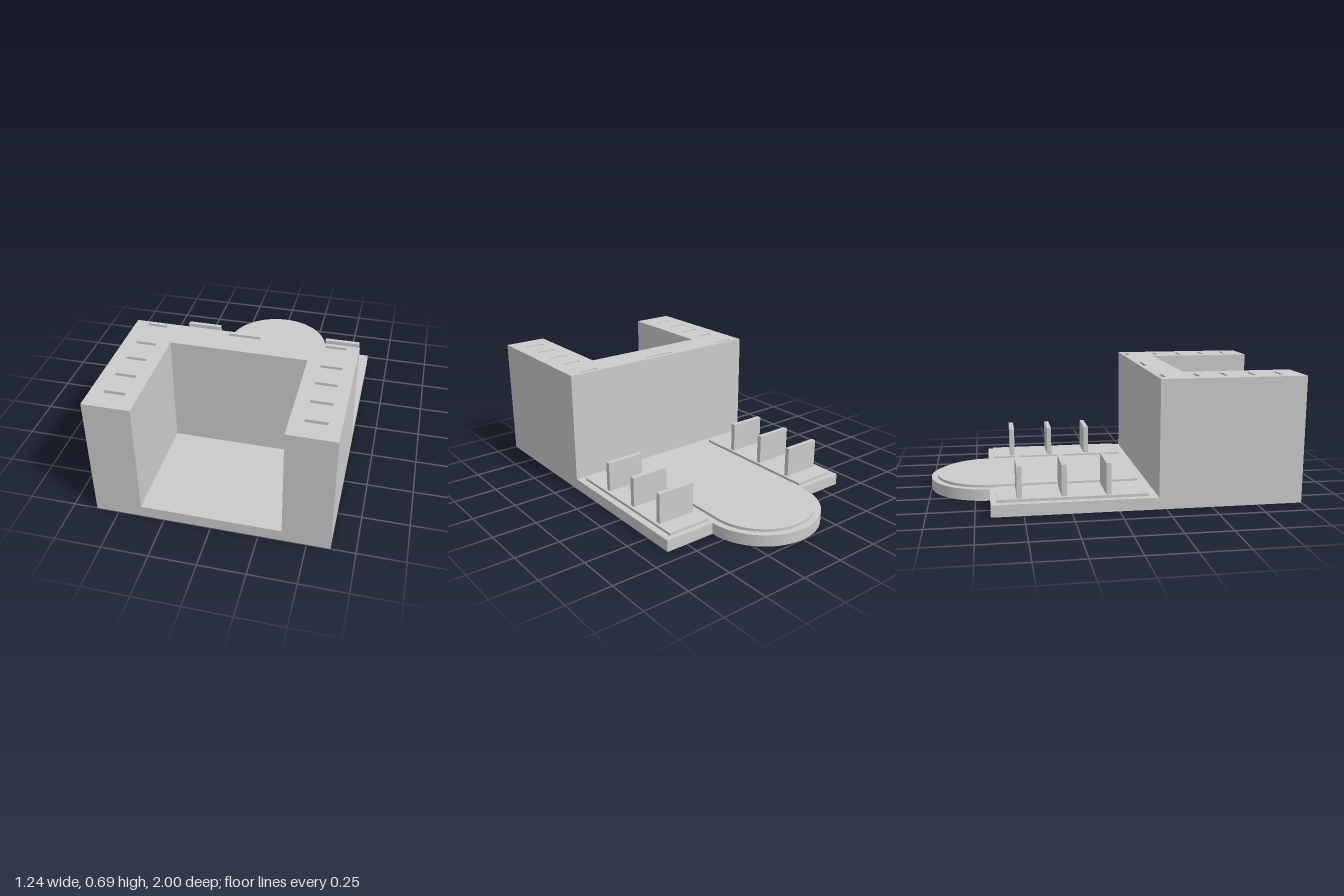
import * as THREE from 'three';

const material = new THREE.MeshStandardMaterial({ color: 0xcccccc });
const BASE = 0.065, PANEL = 0.08, TOP = 0.695, FIN = 0.25;
const HALF = 0.622, BACK = 0.67, WALL_BACK = 0.21;

// Outlines are drawn in plan with y pointing to the back (-z), then raised upwards
function slab(name, shape, y0, y1) {
  const geometry = new THREE.ExtrudeGeometry(shape, { depth: y1 - y0, bevelEnabled: false, curveSegments: 48 });
  geometry.rotateX(-Math.PI / 2);
  const mesh = new THREE.Mesh(geometry, material);
  mesh.position.y = y0;
  mesh.name = name;
  return mesh;
}

function block(name, x0, x1, y0, y1, z0, z1) {
  const mesh = new THREE.Mesh(new THREE.BoxGeometry(x1 - x0, y1 - y0, z1 - z0), material);
  mesh.position.set((x0 + x1) / 2, (y0 + y1) / 2, (z0 + z1) / 2);
  mesh.name = name;
  return mesh;
}

// Narrow slot with slightly rounded corners
function slot(x, z, width) {
  const w = width / 2, h = 0.01, r = 0.005, path = new THREE.Path();
  path.absarc(x + w - r, -z + h - r, r, 0, Math.PI / 2);
  path.absarc(x - w + r, -z + h - r, r, Math.PI / 2, Math.PI);
  path.absarc(x - w + r, -z - h + r, r, Math.PI, Math.PI * 1.5);
  path.absarc(x + w - r, -z - h + r, r, Math.PI * 1.5, Math.PI * 2);
  path.closePath();
  return path;
}

export function createModel() {
  const model = new THREE.Group();
  model.name = 'slottedTray';

  // Base plate with a round tongue at the back
  const base = new THREE.Shape();
  base.moveTo(-HALF, -1);
  base.lineTo(HALF, -1);
  base.lineTo(HALF, BACK);
  base.lineTo(0.33, BACK);
  base.absarc(0, BACK, 0.33, 0, Math.PI);
  base.lineTo(-HALF, BACK);
  base.closePath();
  model.add(slab('basePlate', base, 0, BASE));

  // U-shaped wall around the front bay, with slots in its top
  const wall = new THREE.Shape();
  [[-HALF, -1], [-0.372, -1], [-0.372, -0.39], [0.372, -0.39], [0.372, -1],
    [HALF, -1], [HALF, -WALL_BACK], [-HALF, -WALL_BACK]]
    .forEach(([x, y], i) => (i ? wall.lineTo(x, y) : wall.moveTo(x, y)));
  wall.closePath();
  wall.holes.push(slot(0, 0.242, 0.178));
  for (const side of [-1, 1]) {
    for (const z of [0.242, 0.428, 0.578, 0.73, 0.88]) wall.holes.push(slot(side * 0.498, z, 0.114));
  }
  model.add(slab('bayWall', wall, BASE, TOP));

  // Raised centre panel following the tongue
  const panel = new THREE.Shape();
  panel.moveTo(-0.295, -0.163);
  panel.lineTo(0.295, -0.163);
  panel.absarc(0, BACK, 0.295, 0, Math.PI);
  panel.closePath();
  model.add(slab('centrePanel', panel, BASE, PANEL));

  // Raised side panels, each carrying three upright dividers
  for (const side of [-1, 1]) {
    const rack = new THREE.Group();
    rack.name = side > 0 ? 'leftRack' : 'rightRack';
    const c = side * 0.46;
    rack.add(block('sidePanel', c - 0.125, c + 0.125, BASE, PANEL, -0.64, 0.163));
    for (const z of [-0.52, -0.286, -0.05]) {
      rack.add(block('divider', c - 0.109, c + 0.109, PANEL, FIN, z - 0.0135, z + 0.0135));
    }
    model.add(rack);
  }
  return model;
}
